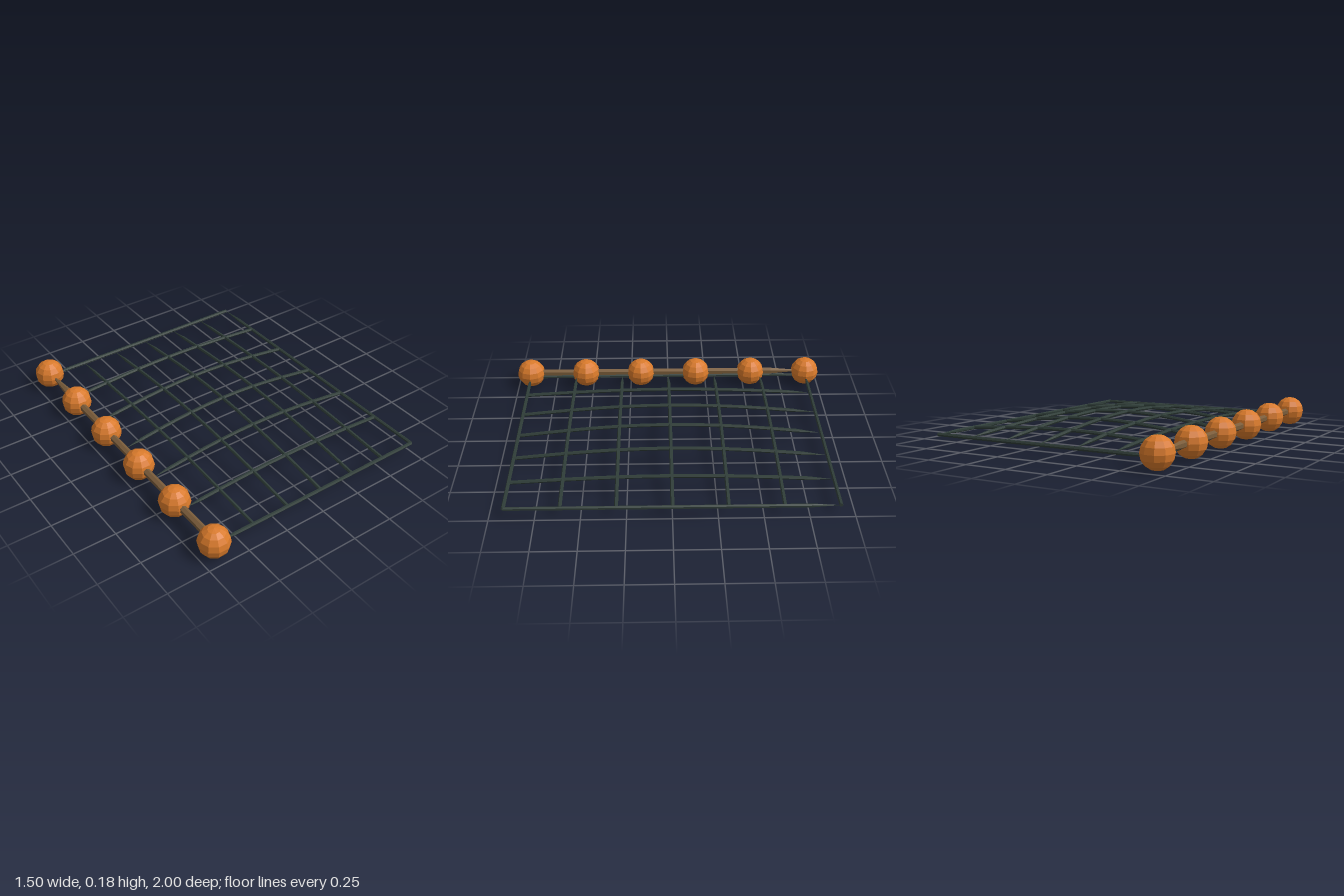
import * as THREE from 'three';

const X0 = -0.64, X1 = 0.735, Z = 0.915, EDGE_Y = 0.07, RISE = 0.07;
const CELLS = 6, STRAND_R = 0.011;

// Curve sampled from a function of t
class PathCurve extends THREE.Curve {
  constructor(fn) { super(); this.fn = fn; }
  getPoint(t, target = new THREE.Vector3()) { return target.copy(this.fn(t)); }
}

// Faceted look: every face gets its own normal
function faceted(geometry) {
  const g = geometry.toNonIndexed();
  g.computeVertexNormals();
  return g;
}

// Cord that starts in a point and ends in a flat cap
function cord(name, fn, radius, segments, material) {
  const sides = 6;
  const curve = new PathCurve(fn);
  const tube = new THREE.TubeGeometry(curve, segments, radius, sides, false);
  const start = fn(0);
  for (let i = 0; i <= sides; i++) tube.attributes.position.setXYZ(i, start.x, start.y, start.z);

  const group = new THREE.Group();
  group.name = name;
  group.add(new THREE.Mesh(faceted(tube), material));
  const cap = new THREE.Mesh(new THREE.CircleGeometry(radius, sides), material);
  cap.position.copy(fn(1));
  cap.quaternion.setFromUnitVectors(new THREE.Vector3(0, 0, 1), curve.getTangent(1));
  group.add(cap);
  return group;
}

// Point on the gently domed net, u across x and v along z
function netPoint(u, v) {
  return new THREE.Vector3(
    THREE.MathUtils.lerp(X0, X1, u),
    EDGE_Y + RISE * Math.sin(Math.PI * u) * Math.sin(Math.PI * v),
    THREE.MathUtils.lerp(-Z, Z, v));
}

export function createModel() {
  const netMat = new THREE.MeshStandardMaterial({ color: 0x2f3d38 });
  netMat.name = 'dark net cord';
  const ropeMat = new THREE.MeshStandardMaterial({ color: 0x7a5c3a });
  ropeMat.name = 'brown rope';
  const floatMat = new THREE.MeshStandardMaterial({ color: 0xd97a2b });
  floatMat.name = 'orange float';

  const model = new THREE.Group();
  model.name = 'fishingNet';

  // Net strands in both directions
  const net = new THREE.Group();
  net.name = 'net';
  for (let i = 0; i <= CELLS; i++) {
    const s = i / CELLS;
    net.add(cord('lengthStrand', t => netPoint(s, t), STRAND_R, 12, netMat));
    net.add(cord('crossStrand', t => netPoint(t, s), STRAND_R, 12, netMat));
  }
  model.add(net);

  // Head rope through the floats
  model.add(cord('headRope',
    t => new THREE.Vector3(-0.66, 0.091, THREE.MathUtils.lerp(-0.912, 0.912, t)),
    0.022, 8, ropeMat));

  // Row of floats
  const ball = faceted(new THREE.SphereGeometry(0.09, 10, 8));
  for (let i = 0; i < 6; i++) {
    const float = new THREE.Mesh(ball, floatMat);
    float.name = 'float';
    float.position.set(-0.66, 0.09, -0.912 + i * 0.3648);
    model.add(float);
  }
  return model;
}
